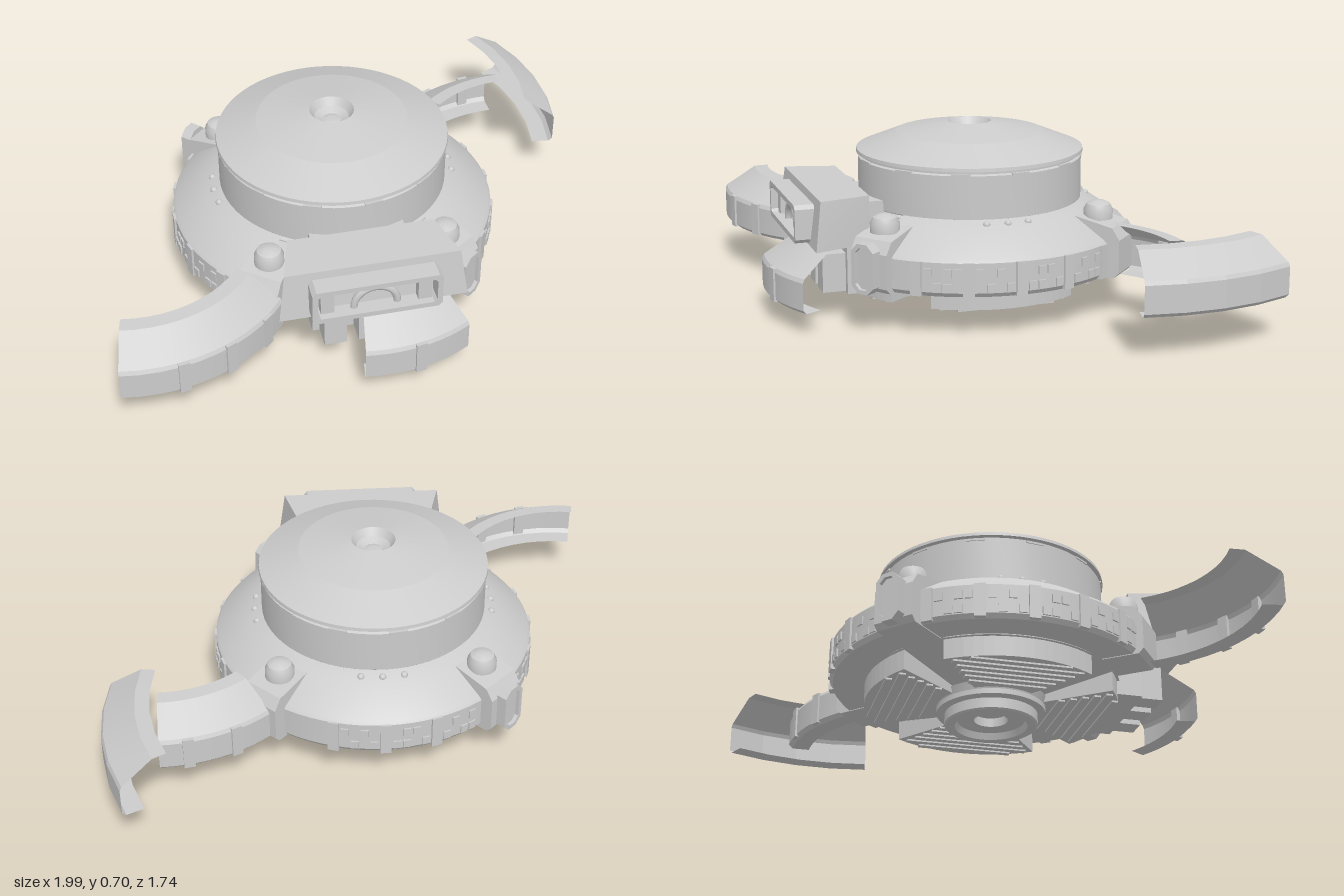
import * as THREE from 'three';
import { toCreasedNormals } from 'three/addons/utils/BufferGeometryUtils.js';

const mat = new THREE.MeshStandardMaterial({ color: 0xcccccc, side: THREE.DoubleSide });
const rad = THREE.MathUtils.degToRad;

function add(parent, name, geometry, x = 0, y = 0, z = 0) {
  const mesh = new THREE.Mesh(geometry, mat);
  mesh.name = name;
  mesh.position.set(x, y, z);
  parent.add(mesh);
  return mesh;
}

// Turned part from [radius, height] pairs; angles in degrees from +z towards +x
function turned(points, from = 0, to = 360, steps = 64, crease = 0.13) {
  const pts = points.map(([r, y]) => new THREE.Vector2(r, y));
  return toCreasedNormals(new THREE.LatheGeometry(pts, steps, rad(from), rad(to - from)), crease);
}

// Places a small part facing outward at an angle around the parent's axis
function radial(parent, name, geometry, angle, r, y) {
  const a = rad(angle);
  const mesh = add(parent, name, geometry, Math.sin(a) * r, y, Math.cos(a) * r);
  mesh.rotation.y = a;
}

// Prism with an outline in (radius, height), centred across its width
function radialPrism(outline, width) {
  const shape = new THREE.Shape(outline.map(([r, y]) => new THREE.Vector2(r, y)));
  const g = new THREE.ExtrudeGeometry(shape, { depth: width, bevelEnabled: false });
  return g.translate(0, 0, -width / 2).rotateY(-Math.PI / 2);
}

function chamferRect(w, h, c, Type = THREE.Shape) {
  const s = new Type();
  s.moveTo(-w / 2 + c, -h / 2);
  s.lineTo(w / 2 - c, -h / 2);
  s.lineTo(w / 2, -h / 2 + c);
  s.lineTo(w / 2, h / 2 - c);
  s.lineTo(w / 2 - c, h / 2);
  s.lineTo(-w / 2 + c, h / 2);
  s.lineTo(-w / 2, h / 2 - c);
  s.lineTo(-w / 2, -h / 2 + c);
  s.closePath();
  return s;
}

function frame(w, h, border, c, depth) {
  const s = chamferRect(w, h, c);
  s.holes.push(chamferRect(w - 2 * border, h - 2 * border, c * 0.7, THREE.Path));
  return new THREE.ExtrudeGeometry(s, { depth, bevelEnabled: false });
}

const clipGeo = new THREE.BoxGeometry(0.042, 0.13, 0.022);
const windowGeo = new THREE.BoxGeometry(0.03, 0.032, 0.018);

// Open shell cut from a ring; grow widens the ring's radius
function ringPiece(parent, name, [x, y, z], from, to, { clips = [], grow = 0, steps = 10 } = {}) {
  const g = new THREE.Group();
  g.name = name;
  g.position.set(x, y, z);
  parent.add(g);
  const section = [[0.445, 0.383], [0.5, 0.38], [0.622, 0.3], [0.63, 0.285], [0.63, 0.18], [0.615, 0.165], [0.545, 0.165]];
  add(g, 'ringShell', turned(section.map(([r, h]) => [r + grow, h]), from, to, steps));
  clips.forEach((a) => radial(g, 'clip', clipGeo, a, 0.626, 0.235));
}

function addHull(body) {
  // Drum and shallow dome with a dished centre
  add(body, 'drum', turned([[0.43, 0.4], [0.44, 0.41], [0.44, 0.575], [0.43, 0.58], [0.43, 0.59],
    [0.447, 0.592], [0.445, 0.605]]));
  add(body, 'dome', turned([[0.445, 0.605], [0.29, 0.667], [0.085, 0.705], [0.065, 0.675], [0.035, 0.66],
    [0.02, 0.664], [0, 0.665]]));
  for (let a = 0; a < 360; a += 30) {
    radial(body, 'drumRimSlot', new THREE.BoxGeometry(0.07, 0.008, 0.012), a + 8, 0.437, 0.577);
  }

  // Sloped skirt and outer band, open at the front
  add(body, 'outerRing', turned([[0.44, 0.41], [0.49, 0.39], [0.615, 0.305], [0.625, 0.293], [0.625, 0.18],
    [0.612, 0.163], [0.47, 0.163]], 38, 322, 64, 0.3));
  add(body, 'core', turned([[0.43, 0.41], [0.45, 0.4], [0.45, 0.15]]));

  // Clips and two rows of windows round the band
  for (let a = 54; a <= 306; a += 18) {
    if (Math.abs(a - 136) < 9 || Math.abs(a - 224) < 9) continue;
    radial(body, 'clip', clipGeo, a, 0.622, 0.23);
    for (let k = 0; k < 4; k++) {
      [0.2, 0.255].forEach((y, row) => {
        if ((a / 18 + k * 2 + row * 3) % 5 < 3) {
          radial(body, 'window', windowGeo, a + 4 + k * 3.4, 0.622, y);
        }
      });
    }
  }
  // Small studs at the foot of the drum
  for (const side of [90, 180, 270]) {
    for (const d of [-10, 0, 10]) {
      radial(body, 'stud', new THREE.SphereGeometry(0.014, 12, 8), side + d, 0.468, 0.397);
    }
  }
}

function addUnderside(body) {
  // Floor of the diagonal channels, and the hub
  add(body, 'channelFloor', turned([[0.5, 0.155], [0.18, 0.1]]));
  add(body, 'hub', turned([[0.22, 0.1], [0.21, 0.07], [0.21, 0.05], [0.18, 0.045], [0.18, 0.005], [0.172, 0],
    [0.14, 0], [0.13, 0.025], [0.065, 0.025], [0.065, 0.06], [0, 0.06]]));

  // Four flat quarters with panel strips
  const pts = [];
  for (let i = 0; i <= 16; i++) {
    const a = rad(-35 + i * 70 / 16);
    pts.push(new THREE.Vector2(Math.sin(a) * 0.49, Math.cos(a) * 0.49));
  }
  for (const a of [31, 0, -31]) pts.push(new THREE.Vector2(Math.sin(rad(a)) * 0.19, Math.cos(rad(a)) * 0.19));
  const quarter = new THREE.ExtrudeGeometry(new THREE.Shape(pts), { depth: 0.088, bevelEnabled: false }).rotateX(Math.PI / 2);
  for (let q = 0; q < 4; q++) {
    const g = new THREE.Group();
    g.name = 'underQuarter';
    g.rotation.y = q * Math.PI / 2;
    body.add(g);
    add(g, 'quarterPlate', quarter, 0, 0.163, 0);
    for (let d = 0.24; d < 0.46; d += 0.04) {
      const half = Math.min(d * 0.62, Math.sqrt(0.23 - d * d));
      add(g, 'panelStrip', new THREE.BoxGeometry(half * 2, 0.01, 0.025), 0, 0.073, d);
    }
  }
}

function addPylon(body, angle, reach, hatch) {
  const g = new THREE.Group();
  g.name = 'pylon';
  g.rotation.y = rad(angle);
  body.add(g);
  add(g, 'pylonBody', radialPrism([[0.42, 0.16], [reach - 0.02, 0.16], [reach, 0.18], [reach, 0.31],
    [reach - 0.03, 0.355], [0.5, 0.385], [0.42, 0.4]], 0.165));
  // Rounded knob on top
  add(g, 'knob', turned([[0.056, 0], [0.056, 0.035], [0.045, 0.057], [0.022, 0.068], [0, 0.07]],
    0, 360, 20, 0.6), 0, 0.37, 0.55);
  if (hatch) {
    add(g, 'hatchFrame', frame(0.1, 0.19, 0.016, 0.028, 0.045), 0, 0.255, reach - 0.005);
    add(g, 'hatchDoor', new THREE.ExtrudeGeometry(chamferRect(0.07, 0.16, 0.02), { depth: 0.025, bevelEnabled: false }),
      0, 0.255, reach);
  }
}

function addFrontModule(body) {
  // Flared head
  const head = new THREE.BoxGeometry(1, 1, 1);
  const p = head.attributes.position;
  for (let i = 0; i < p.count; i++) {
    const front = p.getZ(i) > 0, top = p.getY(i) > 0;
    const half = front ? (top ? 0.325 : 0.35) : 0.275;
    p.setXYZ(i, Math.sign(p.getX(i)) * half, top ? 0.497 : 0.312, front ? (top ? 0.675 : 0.7) : 0.48);
  }
  head.computeVertexNormals();
  add(body, 'frontHead', head);
  add(body, 'headNeck', new THREE.BoxGeometry(0.36, 0.24, 0.16), 0, 0.33, 0.44);

  // Bay frame with a ring inside
  const bay = new THREE.Group();
  bay.name = 'bay';
  bay.position.set(0, 0.395, 0.68);
  body.add(bay);
  add(bay, 'bayFrame', frame(0.48, 0.145, 0.02, 0.015, 0.075));
  add(bay, 'bayRing', new THREE.TorusGeometry(0.08, 0.014, 8, 24, Math.PI), 0, -0.05, 0.035);
  for (const s of [-1, 1]) add(bay, 'bayRail', new THREE.BoxGeometry(0.05, 0.1, 0.04), s * 0.18, 0, 0.03);

  // Machinery exposed behind the gap in the ring
  add(body, 'machineryBlock', new THREE.BoxGeometry(0.4, 0.2, 0.12), 0, 0.2, 0.49);
  for (const x of [-0.13, 0, 0.13]) {
    add(body, 'machineryPod', new THREE.BoxGeometry(0.085, 0.15, 0.1), x, 0.18, 0.59);
  }
}

export function createModel() {
  const model = new THREE.Group();
  model.name = 'brokenRingStation';
  const body = new THREE.Group();
  body.name = 'station';
  body.position.set(-0.057, 0, 0.03);
  model.add(body);

  addHull(body);
  addUnderside(body);
  addPylon(body, 37.5, 0.65, true);
  addPylon(body, -37.5, 0.65, false);
  addPylon(body, 136, 0.67, false);
  addPylon(body, -136, 0.67, true);
  addFrontModule(body);

  // Broken ring pieces, shifted away from the hull
  ringPiece(model, 'leftRingArm', [-0.88, 0, 0.23], -11, 54, { clips: [10, 27, 44] });
  ringPiece(model, 'rightRingArm', [0.78, 0, -0.01], 180, 221, { clips: [190, 207] });
  ringPiece(model, 'looseRingPiece', [0.055, 0, -0.48], 77.5, 115, { grow: 0.31, steps: 4 });
  ringPiece(model, 'frontRingPiece', [-0.02, -0.085, 0.235], -9, 29.5, { clips: [10] });
  return model;
}
